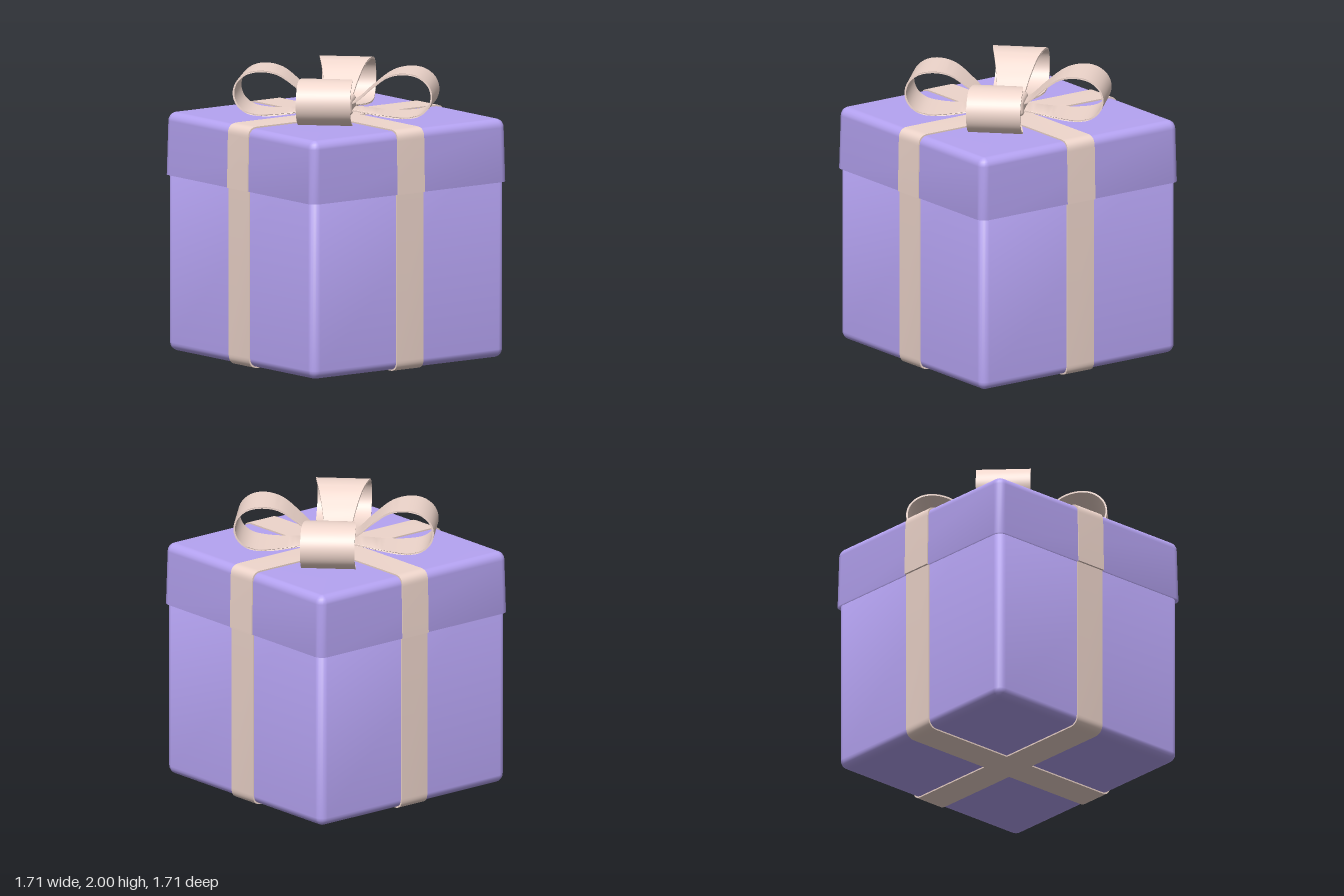
import * as THREE from 'three';
import { toCreasedNormals } from 'three/addons/utils/BufferGeometryUtils.js';
import { RoundedBoxGeometry } from 'three/addons/geometries/RoundedBoxGeometry.js';

const paper = new THREE.MeshStandardMaterial({ color: 0xb5a3f2 });
const satin = new THREE.MeshStandardMaterial({ color: 0xefd6cc });

function part(name, geometry, material) {
  const mesh = new THREE.Mesh(geometry, material);
  mesh.name = name;
  return mesh;
}

// Stacks rounded squares [half size, y, corner radius] from bottom to top and caps both ends.
function loftSquares(rings, steps = 5) {
  const pos = [], idx = [], n = 4 * (steps + 1);
  for (const [half, y, r] of rings) {
    for (let c = 0; c < 4; c++) {
      const mid = Math.PI / 4 + c * Math.PI / 2;
      const cx = Math.sign(Math.cos(mid)) * (half - r);
      const cz = Math.sign(Math.sin(mid)) * (half - r);
      for (let s = 0; s <= steps; s++) {
        const a = (c + s / steps) * Math.PI / 2;
        pos.push(cx + r * Math.cos(a), y, cz + r * Math.sin(a));
      }
    }
  }
  const last = rings.length - 1;
  const bottom = pos.length / 3, top = bottom + 1;
  pos.push(0, rings[0][1], 0, 0, rings[last][1], 0);
  for (let i = 0; i < n; i++) {
    const j = (i + 1) % n;
    for (let k = 0; k < last; k++) {
      const a = k * n + i, b = k * n + j;
      idx.push(a, a + n, b, b, a + n, b + n);
    }
    idx.push(bottom, i, j, top, last * n + j, last * n + i);
  }
  const g = new THREE.BufferGeometry();
  g.setAttribute('position', new THREE.Float32BufferAttribute(pos, 3));
  g.setIndex(idx);
  g.computeVertexNormals();
  return g;
}

// Quarter-round edge for a loft; dir is +1 for a top edge, -1 for a bottom edge.
function roundEdge(half, y, r, dir) {
  const rings = [];
  for (let i = 0; i <= 5; i++) {
    const a = i / 5 * Math.PI / 2;
    const inset = r * (1 - Math.cos(a));
    rings.push([half - inset, y - dir * r * (1 - Math.sin(a)), Math.max(r - inset, 0.004)]);
  }
  return dir > 0 ? rings : rings.reverse();
}

// Ribbon strip along a path in the xy plane, with half width given as a function of x.
function ribbon(path, thickness, halfWidth) {
  const inner = path.map((p, i) => {
    const a = path[Math.max(i - 1, 0)], b = path[Math.min(i + 1, path.length - 1)];
    const t = b.clone().sub(a).normalize();
    return new THREE.Vector2(p.x - t.y * thickness, p.y + t.x * thickness);
  });
  const shape = new THREE.Shape([...path, ...inner.reverse()]);
  const g = new THREE.ExtrudeGeometry(shape, { depth: 2, steps: 1, bevelEnabled: false });
  g.translate(0, 0, -1);
  const p = g.attributes.position;
  for (let i = 0; i < p.count; i++) p.setZ(i, p.getZ(i) * halfWidth(p.getX(i)));
  return toCreasedNormals(g, 0.7);
}

// U-shaped path with rounded corners, from the open end to the closed end and back.
function uPath(openHalf, openY, closedHalf, closedY, r) {
  const s = Math.sign(closedY - openY), h = closedHalf;
  const path = new THREE.Path();
  path.moveTo(s * openHalf, openY);
  path.lineTo(s * h, closedY - s * r);
  path.quadraticCurveTo(s * h, closedY, s * (h - r), closedY);
  path.lineTo(-s * (h - r), closedY);
  path.quadraticCurveTo(-s * h, closedY, -s * h, closedY - s * r);
  path.lineTo(-s * openHalf, openY);
  return path.getPoints(8);
}

export function createModel() {
  const gift = new THREE.Group();
  gift.name = 'giftBox';

  // Box and overlapping lid
  gift.add(part('box', loftSquares([
    ...roundEdge(0.832, 0.01, 0.06, -1), [0.832, 1.6, 0.06],
  ]), paper));
  gift.add(part('lid', loftSquares([
    [0.82, 1.235, 0.055], [0.848, 1.235, 0.06], ...roundEdge(0.84, 1.672, 0.06, 1),
  ]), paper));

  // Straps around the box and over the lid, in both directions
  const boxStrap = ribbon(uPath(0.842, 1.3, 0.842, 0, 0.075), 0.025, () => 0.115);
  const lidStrap = ribbon(uPath(0.857, 1.235, 0.849, 1.682, 0.075), 0.025, () => 0.115);
  for (const [name, turn] of [['side', 0], ['front', Math.PI / 2]]) {
    const straps = new THREE.Group();
    straps.name = name + 'Straps';
    straps.rotation.y = turn;
    straps.add(part('boxStrap', boxStrap, satin), part('lidStrap', lidStrap, satin));
    gift.add(straps);
  }

  // Bow: four teardrop loops that widen outwards along the diagonals
  const bow = new THREE.Group();
  bow.name = 'bow';
  const loopPath = new THREE.CatmullRomCurve3([
    [0.05, 1.715], [0.17, 1.71], [0.32, 1.69], [0.48, 1.681], [0.6, 1.702], [0.67, 1.762],
    [0.693, 1.84], [0.67, 1.92], [0.6, 1.98], [0.5, 2.0], [0.38, 1.975], [0.25, 1.88],
    [0.14, 1.785], [0.05, 1.755],
  ].map(([x, y]) => new THREE.Vector3(x, y, 0))).getPoints(56)
    .map(p => new THREE.Vector2(p.x, p.y));
  const flare = x => 0.088 + 0.1 * THREE.MathUtils.smoothstep(x, 0.05, 0.6);
  const loop = ribbon(loopPath, 0.012, flare);
  for (let i = 0; i < 4; i++) {
    const mesh = part('bowLoop', loop, satin);
    mesh.rotation.y = Math.PI / 4 + i * Math.PI / 2;
    bow.add(mesh);
  }

  // Knot in the middle of the bow
  const knot = part('knot', new RoundedBoxGeometry(0.25, 0.125, 0.25, 4, 0.03), satin);
  knot.position.y = 1.745;
  knot.rotation.y = Math.PI / 4;
  bow.add(knot);
  gift.add(bow);

  return gift;
}
